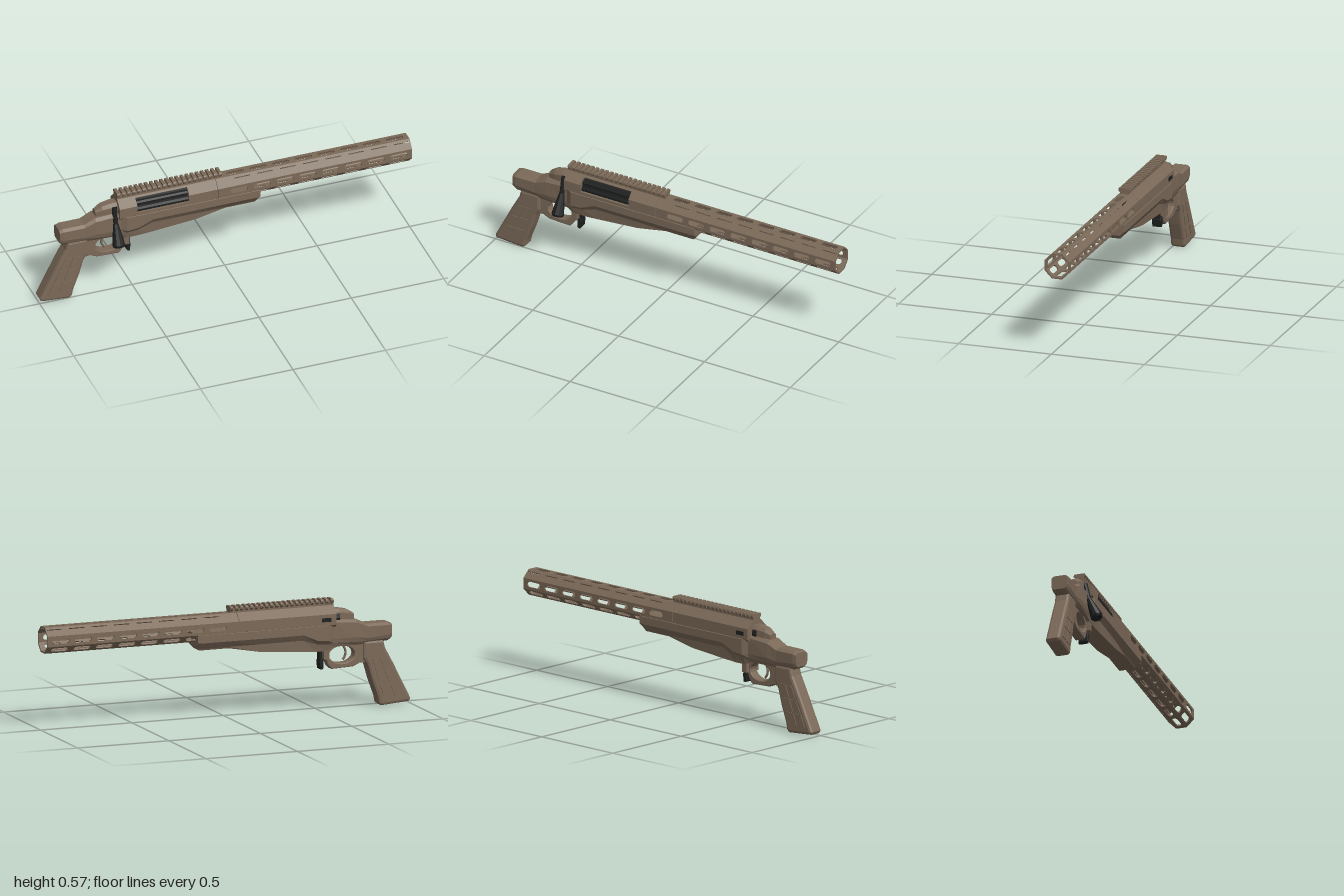
import * as THREE from 'three';

const brown = new THREE.MeshStandardMaterial({ color: 0x7b6958 });
brown.name = 'earth brown';
const black = new THREE.MeshStandardMaterial({ color: 0x1e1f1f });
black.name = 'matte black';

const AXIS_Y = 0.475, APOTHEM = 0.067;

export function createModel() {
  const model = new THREE.Group();
  model.position.z = -0.03;
  const root = new THREE.Group();
  root.add(model);

  const add = (name, geo, mat = brown, parent = model) => {
    const mesh = new THREE.Mesh(geo, mat);
    mesh.name = name;
    parent.add(mesh);
    return mesh;
  };
  const flat = (geo) => {
    const g = geo.index ? geo.toNonIndexed() : geo;
    g.computeVertexNormals();
    return g;
  };
  const box = (name, x0, x1, y0, y1, z0, z1, mat) => add(name,
    new THREE.BoxGeometry(x1 - x0, y1 - y0, z1 - z0)
      .translate((x0 + x1) / 2, (y0 + y1) / 2, (z0 + z1) / 2), mat);
  const shapeOf = (pts) => new THREE.Shape(pts.map(([a, b]) => new THREE.Vector2(a, b)));

  // Prism along x from a [z, y] outline
  const prism = (pts, x0, x1, bore = 0) => {
    const s = shapeOf(pts.map(([z, y]) => [-z, y]));
    if (bore) s.holes.push(new THREE.Path().absarc(0, AXIS_Y, bore, 0, Math.PI * 2, true));
    return new THREE.ExtrudeGeometry(s, { depth: x1 - x0, bevelEnabled: false, curveSegments: 8 })
      .rotateY(Math.PI / 2).translate(x0, 0, 0);
  };
  // Side outline extruded across z, with chamfered rims
  const slab = (shape, half, bevel) => new THREE.ExtrudeGeometry(shape, {
    depth: 2 * (half - bevel), bevelEnabled: bevel > 0, bevelThickness: bevel, bevelSize: bevel,
    bevelOffset: -bevel, bevelSegments: 2, curveSegments: 10,
  }).translate(0, 0, bevel - half);
  // Mirrored half sections [halfWidth, y], top to bottom, joined along x
  const loft = (stations) => {
    const rings = stations.map(([x, half]) => [
      ...half.map(([w, y]) => [x, y, w]),
      ...[...half].reverse().map(([w, y]) => [x, y, -w]),
    ]);
    const v = [], n = rings[0].length, last = rings[rings.length - 1];
    const tri = (a, b, c) => v.push(...a, ...b, ...c);
    for (let i = 0; i < rings.length - 1; i++) {
      const a = rings[i], b = rings[i + 1];
      for (let j = 0; j < n; j++) {
        const k = (j + 1) % n;
        tri(a[j], a[k], b[k]);
        tri(a[j], b[k], b[j]);
      }
    }
    for (let j = 1; j < n - 1; j++) {
      tri(rings[0][0], rings[0][j + 1], rings[0][j]);
      tri(last[0], last[j], last[j + 1]);
    }
    const g = new THREE.BufferGeometry();
    g.setAttribute('position', new THREE.Float32BufferAttribute(v, 3));
    return flat(g);
  };
  // Tapered rod between two points
  const rod = (a, b, ra, rb, sides) => {
    const d = b.clone().sub(a);
    const g = new THREE.CylinderGeometry(rb, ra, d.length(), sides);
    g.applyQuaternion(new THREE.Quaternion().setFromUnitVectors(new THREE.Vector3(0, 1, 0), d.clone().normalize()));
    return flat(g.translate(...a.clone().add(b).multiplyScalar(0.5).toArray()));
  };

  // Chassis: rear block, waist, magazine housing and forend
  const fore = (x, edge, under, wb, yb) => [x, [[0.06, 0.45], [0.07, 0.445], [0.07, edge], [under[0], under[1]], [wb, yb]]];
  add('chassis', loft([
    [-0.895, [[0.03, 0.425], [0.042, 0.415], [0.042, 0.375], [0.038, 0.36], [0.03, 0.352]]],
    [-0.875, [[0.032, 0.432], [0.046, 0.42], [0.046, 0.37], [0.04, 0.35], [0.03, 0.338]]],
    [-0.76, [[0.032, 0.432], [0.046, 0.42], [0.046, 0.36], [0.04, 0.345], [0.03, 0.328]]],
    [-0.70, [[0.035, 0.46], [0.05, 0.445], [0.052, 0.37], [0.046, 0.345], [0.035, 0.328]]],
    [-0.57, [[0.038, 0.47], [0.053, 0.455], [0.053, 0.37], [0.05, 0.35], [0.042, 0.328]]],
    fore(-0.54, 0.365, [0.054, 0.345], 0.046, 0.31),
    fore(-0.48, 0.37, [0.054, 0.35], 0.047, 0.31),
    fore(-0.40, 0.405, [0.052, 0.375], 0.047, 0.315),
    fore(-0.163, 0.405, [0.05, 0.373], 0.046, 0.334),
    fore(0, 0.405, [0.046, 0.372], 0.042, 0.364),
    fore(0.16, 0.405, [0.046, 0.372], 0.042, 0.364),
    fore(0.18, 0.408, [0.05, 0.39], 0.045, 0.385),
  ]));

  // Trigger guard with its opening
  const guard = shapeOf([[-0.80, 0.34], [-0.775, 0.225], [-0.725, 0.232], [-0.69, 0.215],
    [-0.57, 0.21], [-0.552, 0.23], [-0.525, 0.30], [-0.525, 0.345]]);
  guard.holes.push(new THREE.Path().absellipse(-0.627, 0.281, 0.07, 0.045, 0, Math.PI * 2, true));
  add('triggerGuard', slab(guard, 0.026, 0.005));
  box('magazineHousingLip', -0.55, -0.52, 0.267, 0.33, -0.045, 0.045);
  add('trigger', new THREE.TubeGeometry(new THREE.QuadraticBezierCurve3(
    new THREE.Vector3(-0.635, 0.335, 0), new THREE.Vector3(-0.675, 0.285, 0),
    new THREE.Vector3(-0.64, 0.25, 0)), 10, 0.006, 6));

  // Magazine catch
  box('magazineCatchStem', -0.521, -0.507, 0.25, 0.325, -0.016, 0.016, black);
  add('magazineCatchPad', slab(shapeOf([[-0.528, 0.22], [-0.52, 0.21], [-0.51, 0.212],
    [-0.505, 0.25], [-0.512, 0.268], [-0.526, 0.268]]), 0.025, 0.003), black);

  // Pistol grip with raised side panels
  add('grip', slab(shapeOf([[-0.85, 0.345], [-0.862, 0.30], [-0.905, 0.22], [-0.95, 0.13], [-1, 0.03],
    [-0.992, 0.015], [-0.84, 0.003], [-0.825, 0.015], [-0.818, 0.05], [-0.785, 0.14], [-0.762, 0.22],
    [-0.74, 0.255], [-0.74, 0.345]]), 0.0395, 0.014));
  const gripPoint = (u, v) => {
    const rear = -0.872 - 0.118 * v, front = -0.765 - 0.06 * v;
    return [rear + (front - rear) * u, 0.265 - 0.225 * v];
  };
  for (const side of [-1, 1]) for (let r = 0; r < 3; r++) for (const [u0, u1] of [[0.16, 0.46], [0.52, 0.84]]) {
    const v0 = 0.06 + r * 0.31, v1 = v0 + 0.27;
    const panel = shapeOf([gripPoint(u0, v0), gripPoint(u0, v1), gripPoint(u1, v1), gripPoint(u1, v0)]);
    add('gripPanel', slab(panel, 0.003, 0)).position.z = side * 0.04;
  }

  // Receiver: octagonal, with the ejection port cut into its right flank
  const h = APOTHEM * Math.tan(Math.PI / 8), A = APOTHEM;
  const up = (pts) => pts.map(([z, y]) => [z, y + AXIS_Y]);
  const octagon = up([[h, A], [A, h], [A, -h], [h, -A], [-h, -A], [-A, -h], [-A, h], [-h, A]]);
  const ported = up([[h, A], [0.035, 0.06], [0.02, 0.06], [0.02, -0.013], [A, -0.013], [A, -h], [h, -A],
    [-h, -A], [-A, -h], [-A, h], [-h, A]]);
  add('receiverRear', prism(octagon, -0.58, -0.485));
  add('receiverMiddle', prism(ported, -0.485, -0.205));
  add('receiverFront', prism(octagon, -0.205, -0.05, 0.036));
  box('boltStop', -0.55, -0.50, 0.465, 0.485, -0.07, -0.064, black);

  // Fluted bolt, shroud and handle
  const flutes = Array.from({ length: 32 }, (_, i) => {
    const a = -i / 32 * Math.PI * 2, r = i % 4 < 2 ? 0.057 : 0.051;
    return [Math.cos(a) * r, AXIS_Y + Math.sin(a) * r];
  });
  add('boltBody', prism(flutes, -0.484, -0.206), black);
  add('boltHead', flat(new THREE.CylinderGeometry(0.034, 0.034, 0.14, 12).rotateZ(Math.PI / 2)
    .translate(-0.14, AXIS_Y, 0)), black);
  add('boltShroud', loft([
    [-0.695, [[0.012, 0.49], [0.02, 0.482], [0.02, 0.455]]],
    [-0.66, [[0.018, 0.511], [0.03, 0.495], [0.03, 0.455]]],
    [-0.612, [[0.02, 0.52], [0.036, 0.502], [0.036, 0.455]]],
    [-0.58, [[0.02, 0.52], [0.036, 0.502], [0.036, 0.455]]],
  ]));
  const P = (y, z) => new THREE.Vector3(-0.598, y, z);
  add('boltCollar', flat(new THREE.CylinderGeometry(0.042, 0.042, 0.026, 12).rotateZ(Math.PI / 2)
    .translate(-0.598, AXIS_Y, 0)), black);
  add('boltHandleRoot', rod(P(0.505, 0.036), P(0.41, 0.058), 0.013, 0.013, 8), black);
  add('boltHandleKnob', rod(P(0.415, 0.056), P(0.312, 0.099), 0.014, 0.033, 10), black);
  add('boltKnobEnd', rod(P(0.312, 0.099), P(0.302, 0.103), 0.033, 0.027, 10), black);

  // Accessory rail
  box('railBase', -0.58, -0.015, 0.535, 0.561, -0.023, 0.023);
  const tooth = [[0.023, 0.55], [0.031, 0.56], [0.031, 0.568], [0.026, 0.574]];
  const toothOutline = [...tooth, ...[...tooth].reverse().map(([z, y]) => [-z, y])];
  for (let i = 0; i < 21; i++) {
    const x = -0.58 + i * 0.0275;
    add('railTooth', prism(toothOutline, x, x + 0.015));
  }

  // Handguard: eight slotted walls around the bore axis
  const slot = (x0, x1, yc, r) => {
    const p = new THREE.Path();
    p.absarc(x1 - r, yc, r, Math.PI / 2, -Math.PI / 2, true);
    p.absarc(x0 + r, yc, r, -Math.PI / 2, -Math.PI * 1.5, true);
    p.closePath();
    return p;
  };
  const handguard = new THREE.Group();
  handguard.name = 'handguard';
  handguard.position.y = AXIS_Y;
  model.add(handguard);
  for (let i = 0; i < 8; i++) {
    const wall = shapeOf([[-0.048, -h], [1, -h], [1, h], [-0.048, h]]);
    const upperSlope = i === 5 || i === 7;
    for (let k = 0; k < 8; k++) {
      const x = 0.02 + k * 0.123;
      wall.holes.push(upperSlope
        ? slot(x + 0.03, x + 0.115, i === 5 ? -0.012 : 0.012, 0.0025)
        : slot(x, x + 0.093, 0, 0.0145));
    }
    add('handguardWall', new THREE.ExtrudeGeometry(wall, { depth: 0.008, bevelEnabled: false, curveSegments: 4 })
      .translate(0, 0, APOTHEM - 0.008).rotateX(i * Math.PI / 4), brown, handguard);
  }
  return root;
}
